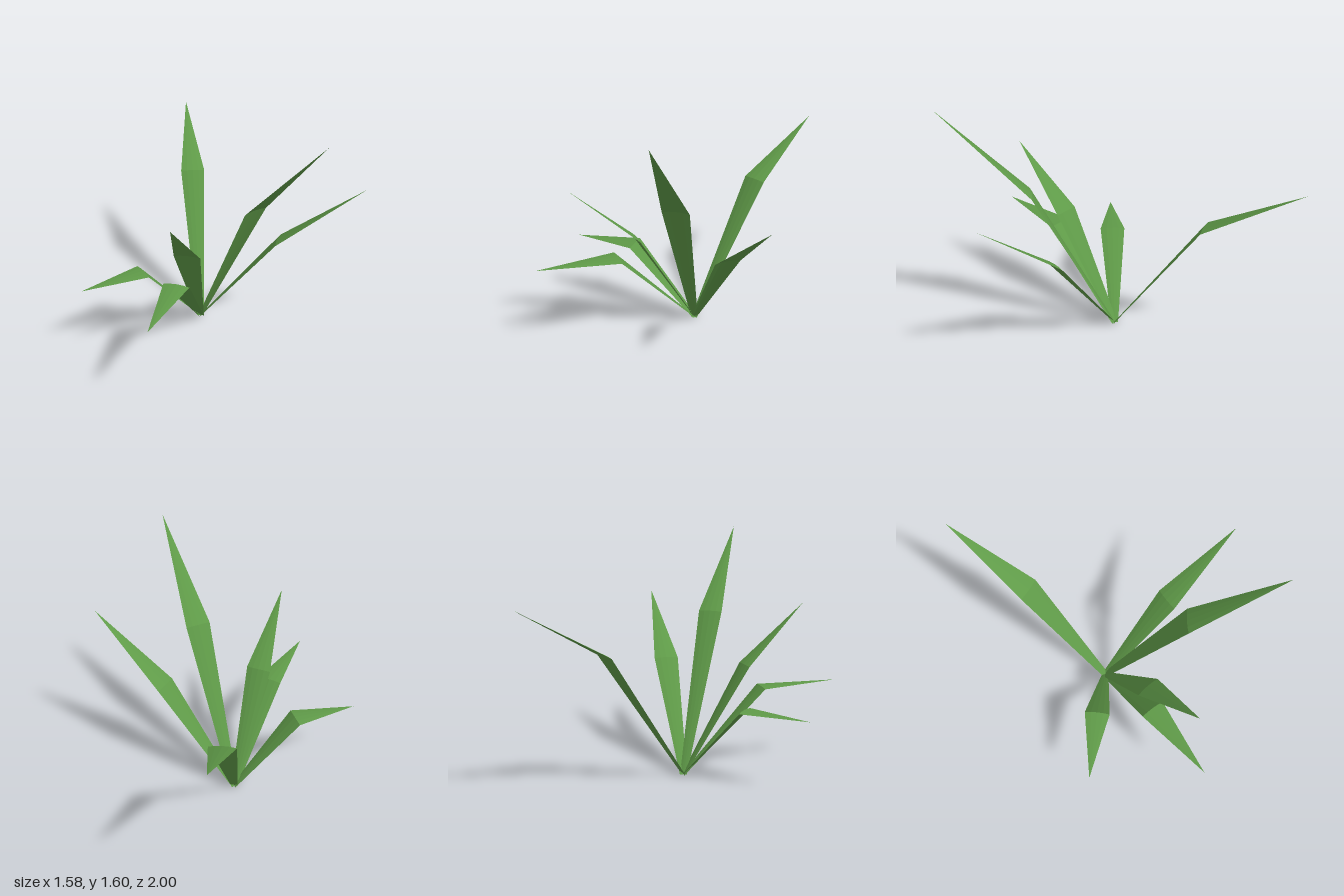
import * as THREE from 'three';

const leafGreen = new THREE.MeshStandardMaterial({ color: 0x5f9a48, side: THREE.DoubleSide, flatShading: true });
leafGreen.name = 'leafGreen';

const ROOT = new THREE.Vector3(0.115, 0, -0.06);
const COLUMNS = 4;

// One folded blade: narrow root, wide fold, pointed tip, slightly arched across its width
function bladeGeometry(fold, tip) {
  const along = tip.clone().sub(ROOT);
  const side = new THREE.Vector3(along.z, 0, -along.x).normalize();
  const normal = along.clone().cross(side).normalize();
  if (normal.y < 0) normal.negate();

  const rows = [[ROOT, 0.024], [fold, 0.084], [tip, 0]];
  const positions = [];
  for (const [centre, halfWidth] of rows) {
    for (let i = 0; i <= COLUMNS; i++) {
      const t = (2 * i) / COLUMNS - 1;
      const p = centre.clone()
        .addScaledVector(side, t * halfWidth)
        .addScaledVector(normal, (1 - t * t) * halfWidth * 0.1);
      positions.push(p.x, p.y, p.z);
    }
  }

  const index = [];
  const n = COLUMNS + 1;
  for (let i = 0; i < COLUMNS; i++) {
    index.push(i, i + 1, n + i, i + 1, n + i + 1, n + i); // root to fold
    index.push(n + i, n + i + 1, 2 * n + i); // fold to tip
  }
  const geometry = new THREE.BufferGeometry();
  geometry.setAttribute('position', new THREE.Float32BufferAttribute(positions, 3));
  geometry.setIndex(index);
  geometry.computeVertexNormals();
  return geometry;
}

export function createModel() {
  const plant = new THREE.Group();
  plant.name = 'plant';

  // name, centre of the fold, tip
  const blades = [
    ['backLeftBlade', [0.452, 0.867, -0.532], [0.79, 1.2, -1.0]],
    ['rightBlade', [-0.318, 0.49, -0.142], [-0.745, 0.475, -0.225]],
    ['lowFrontRightBlade', [-0.34, 0.565, 0.226], [-0.79, 0.58, 0.515]],
    ['highFrontRightBlade', [-0.231, 0.713, 0.2], [-0.57, 1.11, 0.457]],
    ['tallFrontBlade', [0.083, 1.025, 0.467], [0.052, 1.6, 1.0]],
    ['frontLeftBlade', [0.386, 0.69, 0.388], [0.66, 1.12, 0.835]],
  ];
  for (const [name, fold, tip] of blades) {
    const blade = new THREE.Mesh(
      bladeGeometry(new THREE.Vector3(...fold), new THREE.Vector3(...tip)), leafGreen);
    blade.name = name;
    plant.add(blade);
  }
  return plant;
}
